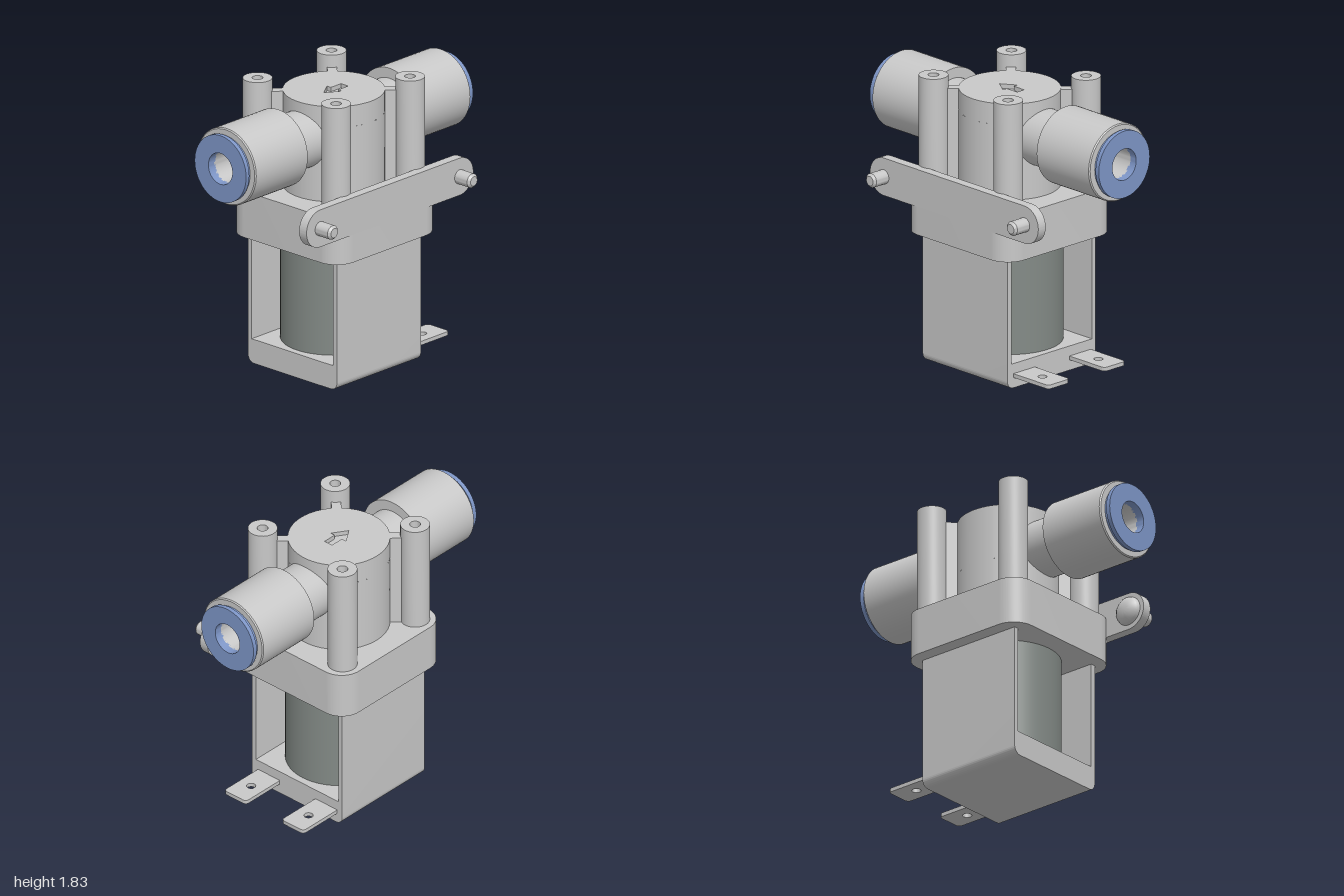
import * as THREE from 'three';
import { toCreasedNormals } from 'three/addons/utils/BufferGeometryUtils.js';

const CX = -0.065;      // axis of the valve body
const PIPE_Y = 1.51;    // height of the pipe axis

function material(name, color) {
  const m = new THREE.MeshStandardMaterial({ color });
  m.name = name;
  return m;
}

function mesh(name, geometry, mat, x = 0, y = 0, z = 0) {
  const m = new THREE.Mesh(geometry, mat);
  m.name = name;
  m.position.set(x, y, z);
  return m;
}

// Lathe from [radius, height] pairs, with sharp edges kept
function lathe(points, segments = 48) {
  const g = new THREE.LatheGeometry(points.map(([r, y]) => new THREE.Vector2(r, y)), segments);
  return toCreasedNormals(g, 0.5);
}

function roundedRect(w, h, r) {
  const s = new THREE.Shape();
  const a = w / 2 - r, b = h / 2 - r;
  s.absarc(a, b, r, 0, Math.PI / 2);
  s.absarc(-a, b, r, Math.PI / 2, Math.PI);
  s.absarc(-a, -b, r, Math.PI, Math.PI * 1.5);
  s.absarc(a, -b, r, Math.PI * 1.5, Math.PI * 2);
  s.closePath();
  return s;
}

function circleHole(shape, x, y, r) {
  const p = new THREE.Path();
  p.absarc(x, y, r, 0, Math.PI * 2, true);
  shape.holes.push(p);
}

function extrude(shape, depth) {
  const g = new THREE.ExtrudeGeometry(shape, { depth, bevelEnabled: false, curveSegments: 16 });
  return toCreasedNormals(g, 0.5);
}

// Extrusion that rises along +y; shape y becomes -z
const slab = (shape, depth) => extrude(shape, depth).rotateX(-Math.PI / 2);

export function createModel() {
  const grey = material('light grey', 0xc8c8c8);
  const dark = material('coil grey', 0x838a86);
  const blue = material('release ring blue', 0x7d95c6);
  const model = new THREE.Group();
  model.name = 'solenoidValve';

  // U-shaped coil bracket with a thick floor
  const u = new THREE.Shape();
  u.moveTo(-0.43, 0.84);
  u.lineTo(-0.43, 0.05);
  u.absarc(-0.38, 0.05, 0.05, Math.PI, Math.PI * 1.5);
  u.absarc(0.26, 0.05, 0.05, Math.PI * 1.5, Math.PI * 2);
  u.lineTo(0.31, 0.84);
  u.lineTo(0.277, 0.84);
  u.lineTo(0.277, 0.155);
  u.lineTo(-0.4, 0.155);
  u.lineTo(-0.4, 0.84);
  u.closePath();
  model.add(mesh('coilBracket', extrude(u, 0.74), grey, 0, 0, -0.37));

  // Coil
  model.add(mesh('coil', new THREE.CylinderGeometry(0.325, 0.325, 0.685, 64), dark, CX, 0.4975, 0));

  // Two terminal lugs at the back
  for (const x of [-0.3, 0.17]) {
    const lug = roundedRect(0.18, 0.32, 0.025);
    circleHole(lug, 0, 0.015, 0.028);
    model.add(mesh('terminalLug', slab(lug, 0.025), grey, x, 0.066, -0.515));
  }

  // Base block
  model.add(mesh('baseBlock', slab(roundedRect(0.92, 0.92, 0.14), 0.3), grey, -0.06, 0.84, 0));

  // Mounting plate with its two screws
  const plate = extrude(roundedRect(1.47, 0.24, 0.1199), 0.062).rotateY(Math.PI / 2);
  model.add(mesh('mountingPlate', plate, grey, 0.34, 1.14, 0));
  const screw = lathe([[0, 0.285], [0.03, 0.287], [0.06, 0.297], [0.083, 0.318], [0.093, 0.345],
    [0.045, 0.345], [0.045, 0.505], [0.03, 0.52], [0, 0.52]], 32).rotateZ(-Math.PI / 2);
  for (const side of [-1, 1]) model.add(mesh('mountingScrew', screw, grey, 0, 1.14, side * 0.615));

  // Valve chamber wall, left open where the pipe bore passes through
  const chamber = new THREE.Group();
  chamber.name = 'valveChamber';
  chamber.position.x = CX;
  const R = 0.31, gap = 0.363;
  const wall = (y0, y1, start, length) => chamber.add(mesh('chamberWall',
    new THREE.CylinderGeometry(R, R, y1 - y0, 64, 1, true, start, length), grey, 0, (y0 + y1) / 2, 0));
  wall(1.14, 1.4, 0, Math.PI * 2);
  wall(1.62, 1.755, 0, Math.PI * 2);
  for (const start of [gap, Math.PI + gap]) wall(1.4, 1.62, start, Math.PI - 2 * gap);

  // Chamber lid with a recessed flow arrow
  const lid = new THREE.Shape();
  lid.absarc(0, 0, R, 0, Math.PI * 2);
  lid.holes.push(new THREE.Path([[-0.03, 0.095], [0.03, 0.095], [0.03, 0.005], [0.062, 0.005],
    [0, -0.09], [-0.062, 0.005], [-0.03, 0.005]].map(([x, y]) => new THREE.Vector2(x, y))));
  const lidGeometry = new THREE.ExtrudeGeometry(lid, { depth: 0.03, bevelEnabled: false, curveSegments: 32 });
  chamber.add(mesh('chamberLid', toCreasedNormals(lidGeometry, 0.5).rotateX(-Math.PI / 2), grey, 0, 1.725, 0));
  const floor = new THREE.CircleGeometry(0.16, 32).rotateX(-Math.PI / 2);
  chamber.add(mesh('arrowRecess', floor, grey, 0, 1.727, 0));
  model.add(chamber);

  // Corner posts with screw holes, and webs joining them to the chamber
  const post = lathe([[0.09, 1.14], [0.09, 1.833], [0.033, 1.833], [0.033, 1.72], [0, 1.72]], 40);
  for (const sx of [-1, 1]) {
    for (const sz of [-1, 1]) {
      model.add(mesh('cornerPost', post, grey, CX + sx * 0.327, 0, sz * 0.326));
      const web = mesh('postWeb', new THREE.BoxGeometry(0.06, 0.615, 0.12), grey,
        CX + sx * 0.242, 1.4465, sz * 0.242);
      web.rotation.y = sx * sz * Math.PI / 4;
      model.add(web);
    }
  }

  // Through pipe with a push-in collar on each end
  const pipe = lathe([[0.1, -0.95], [0.238, -0.95], [0.245, -0.943], [0.245, -0.49], [0.18, -0.49],
    [0.18, 0.49], [0.245, 0.49], [0.245, 0.943], [0.238, 0.95], [0.1, 0.95], [0.1, -0.95]], 64);
  model.add(mesh('throughPipe', pipe.rotateX(Math.PI / 2), grey, CX, PIPE_Y, 0));

  // Release rings
  const ring = lathe([[0.1, 0.94], [0.2, 0.94], [0.2, 0.972], [0.214, 0.972], [0.214, 1],
    [0.1, 1], [0.1, 0.94]], 64).rotateX(Math.PI / 2);
  for (const turn of [0, Math.PI]) {
    const m = mesh('releaseRing', ring, blue, CX, PIPE_Y, 0);
    m.rotation.y = turn;
    model.add(m);
  }

  return model;
}
